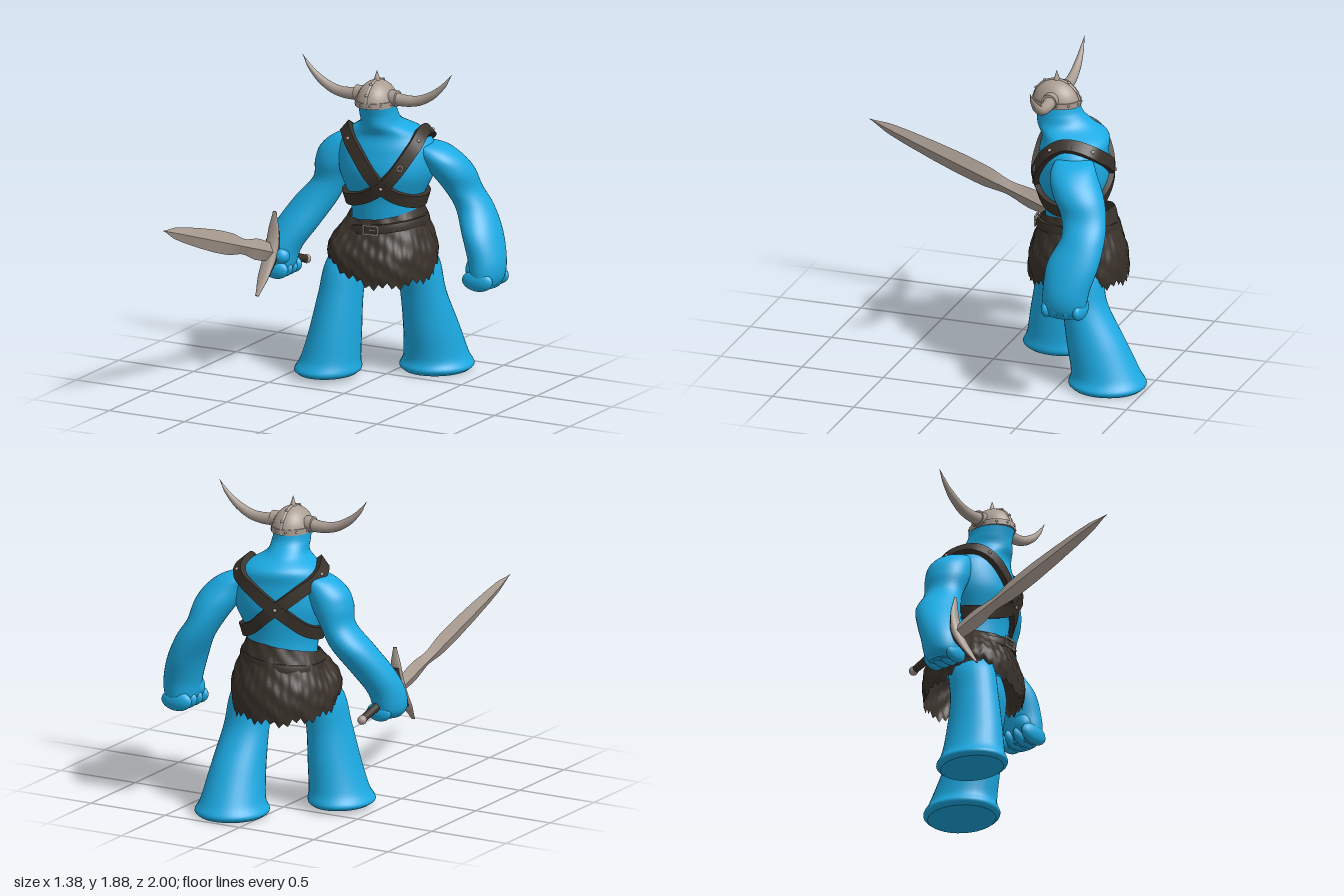
import * as THREE from 'three';
import { toCreasedNormals } from 'three/addons/utils/BufferGeometryUtils.js';

const V = (x, y, z) => new THREE.Vector3(x, y, z);
const TAU = Math.PI * 2, YAW = 0.35;

// Closed skin around rows of points; point(t, angle) gives a position.
function skin(rows, cols, point, caps = true) {
  const pos = [], idx = [];
  for (let i = 0; i <= rows; i++)
    for (let j = 0; j < cols; j++) pos.push(...point(i / rows, (j / cols) * TAU).toArray());
  for (let i = 0; i < rows; i++)
    for (let j = 0; j < cols; j++) {
      const a = i * cols + j, b = i * cols + (j + 1) % cols;
      idx.push(a, b, b + cols, a, b + cols, a + cols);
    }
  if (caps) for (const end of [0, 1]) {
    const start = pos.length / 3, mid = V(0, 0, 0);
    for (let j = 0; j < cols; j++) {
      const p = point(end, (j / cols) * TAU);
      mid.addScaledVector(p, 1 / cols);
      pos.push(...p.toArray());
    }
    pos.push(...mid.toArray());
    for (let j = 0; j < cols; j++) {
      const a = start + j, b = start + (j + 1) % cols;
      if (end) idx.push(a, b, start + cols); else idx.push(b, a, start + cols);
    }
  }
  const g = new THREE.BufferGeometry();
  g.setAttribute('position', new THREE.Float32BufferAttribute(pos, 3));
  g.setIndex(idx);
  g.computeVertexNormals();
  return g;
}

// Smooth stack of level ellipses, bottom to top: [x, y, z, rx, rz].
function stack(sections, yaw = 0) {
  const mid = new THREE.CatmullRomCurve3(sections.map(s => V(s[0], s[1], s[2])), false, 'catmullrom', 0.5);
  const rad = new THREE.CatmullRomCurve3(sections.map(s => V(s[3], s[4], 0)), false, 'catmullrom', 0.5);
  return (t, a) => {
    const r = rad.getPoint(t);
    return V(Math.sin(a) * r.x, 0, Math.cos(a) * r.y).applyAxisAngle(V(0, 1, 0), yaw).add(mid.getPoint(t));
  };
}

// Sweep along a path; sizes are [half width along side, half thickness].
function sweep(path, sizes, side, rows, cols) {
  const mid = new THREE.CatmullRomCurve3(path);
  const rad = new THREE.CatmullRomCurve3(sizes.map(s => V(s[0], s[1], 0)), false, 'catmullrom', 0.3);
  return skin(rows, cols, (t, a) => {
    const T = mid.getTangent(t), r = rad.getPoint(t);
    const e1 = side.clone().addScaledVector(T, -side.dot(T)).normalize();
    const e2 = T.clone().cross(e1);
    return mid.getPoint(t).addScaledVector(e1, Math.cos(a) * r.x).addScaledVector(e2, Math.sin(a) * r.y);
  });
}

export function createModel() {
  const model = new THREE.Group();
  const mat = (name, color) => new THREE.MeshStandardMaterial({ name, color });
  const skinMat = mat('blue skin', 0x1cabe4);
  const leather = mat('dark leather and fur', 0x3a322b);
  leather.side = THREE.DoubleSide;
  const bone = mat('pale metal and horn', 0xaa9d93);
  const add = (name, geo, material, parent = model) => {
    const m = new THREE.Mesh(geo, material);
    m.name = name;
    parent.add(m);
    return m;
  };
  const ball = (name, material, p, s, parent) => {
    const m = add(name, new THREE.SphereGeometry(1, 20, 14), material, parent);
    m.position.set(...p);
    m.scale.set(...s);
    return m;
  };

  // Torso, neck and head
  const torso = stack([
    [-0.01, 0.8, -0.52, 0.2, 0.18], [0, 1.0, -0.505, 0.205, 0.175], [0, 1.1, -0.5, 0.225, 0.183],
    [0.01, 1.24, -0.495, 0.28, 0.213], [0.01, 1.38, -0.5, 0.28, 0.203], [0, 1.47, -0.505, 0.225, 0.195],
    [0, 1.535, -0.45, 0.128, 0.168], [0, 1.6, -0.41, 0.112, 0.135], [0, 1.665, -0.39, 0.11, 0.135]], YAW);
  add('torsoAndHead', skin(64, 40, torso), skinMat);

  // Legs with flared feet
  const limb = (name, sections) => add(name, skin(48, 32, stack(sections)), skinMat);
  limb('rightLeg', [
    [-0.28, 0.025, -0.31, 0.165, 0.195], [-0.28, 0.052, -0.31, 0.19, 0.22], [-0.265, 0.12, -0.315, 0.17, 0.195],
    [-0.24, 0.28, -0.325, 0.148, 0.175], [-0.215, 0.5, -0.345, 0.127, 0.15], [-0.19, 0.7, -0.39, 0.118, 0.145],
    [-0.12, 0.86, -0.48, 0.09, 0.1]]);
  limb('leftLeg', [
    [0.185, 0.003, -0.77, 0.19, 0.205], [0.185, 0.033, -0.77, 0.215, 0.23], [0.185, 0.1, -0.76, 0.185, 0.205],
    [0.185, 0.28, -0.7, 0.158, 0.175], [0.175, 0.5, -0.625, 0.135, 0.132], [0.155, 0.7, -0.585, 0.125, 0.14],
    [0.1, 0.86, -0.55, 0.09, 0.1]]);

  // Arms, rooted inside the chest
  limb('leftArm', [
    [0.59, 0.575, -0.65, 0.06, 0.1], [0.588, 0.64, -0.65, 0.095, 0.13], [0.58, 0.74, -0.66, 0.105, 0.14],
    [0.535, 0.88, -0.685, 0.107, 0.155], [0.465, 1.02, -0.72, 0.108, 0.13], [0.4, 1.13, -0.7, 0.105, 0.135],
    [0.355, 1.24, -0.65, 0.128, 0.15], [0.305, 1.33, -0.605, 0.125, 0.14], [0.235, 1.395, -0.58, 0.1, 0.11],
    [0.14, 1.42, -0.54, 0.05, 0.05]]);
  limb('rightArm', [
    [-0.59, 0.59, -0.28, 0.06, 0.08], [-0.59, 0.64, -0.28, 0.095, 0.11], [-0.575, 0.74, -0.3, 0.11, 0.12],
    [-0.515, 0.87, -0.36, 0.13, 0.13], [-0.43, 1.02, -0.44, 0.128, 0.135], [-0.35, 1.15, -0.47, 0.1, 0.12],
    [-0.315, 1.26, -0.47, 0.12, 0.135], [-0.28, 1.35, -0.475, 0.122, 0.128], [-0.21, 1.425, -0.485, 0.095, 0.1],
    [-0.12, 1.445, -0.5, 0.05, 0.05]]);

  // Curled fingers and thumbs
  for (let i = 0; i < 4; i++) {
    ball('leftFinger', skinMat, [0.575, 0.622, -0.745 + i * 0.064], [0.1, 0.062, 0.038]);
    ball('rightFinger', skinMat, [-0.565, 0.625, -0.365 + i * 0.055], [0.08, 0.055, 0.034]);
  }
  ball('leftThumb', skinMat, [0.53, 0.68, -0.6], [0.05, 0.07, 0.06]);
  ball('rightThumb', skinMat, [-0.54, 0.71, -0.21], [0.055, 0.05, 0.045]);

  // Fur skirt with a ragged hem, bulging over the forward thigh
  const skirtR = new THREE.CatmullRomCurve3([0.298, 0.306, 0.3, 0.272, 0.242, 0.215].map(r => V(r, 0, 0)));
  add('furSkirt', skin(24, 144, (t, a) => {
    const side = a > Math.PI ? a - TAU : a;
    const thigh = Math.exp(-(((side + 1.1) / 0.55) ** 2));
    const jag = 0.03 * Math.abs(((a * 36 / TAU) % 1) * 2 - 1) + 0.012 * Math.sin(a * 11);
    const hem = 0.575 + 0.035 * Math.sin(a) ** 2 + 0.09 * thigh + jag;
    const top = 1.005 + 0.035 * Math.sin(a) - 0.025 * Math.cos(a);
    const r = skirtR.getPoint(t).x + 0.045 * thigh * Math.sin(Math.PI * Math.min(1, 0.4 + t * 0.6))
      + 0.006 * Math.sin(9 * a + 8 * t) * Math.sin(15 * t + 3 * a);
    return V(Math.sin(a) * r, hem + (top - hem) * t, Math.cos(a) * r * 0.96)
      .applyAxisAngle(V(0, 1, 0), YAW).add(V(-0.012, 0, -0.52));
  }, false), leather);

  // Belt across the front, with its buckle
  const waist = new THREE.Group();
  waist.name = 'waist';
  waist.position.set(-0.012, 0, -0.52);
  waist.rotation.y = YAW - 0.22;
  model.add(waist);
  add('belt', toCreasedNormals(skin(4, 48, (t, a) => {
    const r = [0.22, 0.252, 0.254, 0.246, 0.21][Math.round(t * 4)];
    const y = [0.895, 0.895, 0.92, 0.945, 0.945][Math.round(t * 4)];
    return V(Math.sin(a) * r, y + 0.03 * Math.sin(a), Math.cos(a) * r * 0.97);
  }, false), 0.7), leather, waist);
  for (const [w, h, x, y] of [[0.1, 0.009, 0, 0.026], [0.1, 0.009, 0, -0.026], [0.009, 0.06, 0.046, 0], [0.009, 0.06, -0.046, 0], [0.035, 0.008, 0.01, 0]]) {
    const bar = add('buckleBar', new THREE.BoxGeometry(w, h, 0.009), bone, waist);
    bar.position.set(x, y + 0.92, 0.25);
  }

  // Crossed straps following the torso: [angle in degrees, torso section]
  const route = [[-110, 4.7], [-85, 5.0], [-62, 4.9], [-38, 4.2], [0, 2.6], [45, 1.9], [95, 1.85], [140, 2.2],
    [180, 3.1], [220, 4.1], [250, 4.7], [275, 5.0], [298, 4.9]];
  const first = 1 / 12, span = 10 / 12;
  for (const s of [1, -1]) {
    const line = new THREE.CatmullRomCurve3(route.map(([d, k]) => V(s * d * Math.PI / 180, k / 8, 0)), false, 'catmullrom', 0.5);
    const on = u => { const p = line.getPoint(u); return torso(p.y, p.x); };
    const frame = t => {
      const u = first + span * t, p = line.getPoint(u), e = 0.01;
      const du = torso(p.y, p.x + e).sub(torso(p.y, p.x - e));
      const dv = torso(p.y + e, p.x).sub(torso(p.y - e, p.x));
      const n = du.cross(dv).normalize();
      const T = on(u + e).sub(on(u - e)).normalize();
      return { p: on(u), n, w: T.clone().cross(n).normalize() };
    };
    add('strap', toCreasedNormals(skin(90, 4, (t, a) => {
      const { p, n, w } = frame(t), q = a + Math.PI / 4;
      return p.addScaledVector(n, 0.012 + 0.018 * Math.sign(Math.cos(q)))
        .addScaledVector(w, -0.037 * Math.sign(Math.sin(q)));
    }), 0.7), leather);
    for (const t of [0.16, 0.3, 0.7, 0.88]) {
      const { p, n } = frame(t);
      ball('strapStud', bone, p.addScaledVector(n, 0.03).toArray(), [0.011, 0.011, 0.011]);
    }
    // Small ring on the strap over the left shoulder
    if (s < 0) {
      const { p, n } = frame(0.25);
      const ring = add('strapRing', new THREE.TorusGeometry(0.016, 0.005, 6, 18), bone);
      ring.position.copy(p).addScaledVector(n, 0.031);
      ring.quaternion.setFromUnitVectors(V(0, 0, 1), n);
    }
  }

  // Helmet with ridge, band, studs and spike
  const helmet = new THREE.Group();
  helmet.name = 'helmet';
  helmet.position.set(0, 1.655, -0.39);
  model.add(helmet);
  add('dome', new THREE.SphereGeometry(1, 36, 14, 0, TAU, 0, Math.PI / 2), bone, helmet).scale.set(0.116, 0.142, 0.143);
  const bottom = add('helmetBase', new THREE.CircleGeometry(1, 36), bone, helmet);
  bottom.rotation.x = Math.PI / 2;
  bottom.scale.set(0.116, 0.143, 1);
  add('band', toCreasedNormals(skin(3, 40, (t, a) => {
    const k = [0, 0.006, 0.006, -0.004][Math.round(t * 3)], y = [-0.004, -0.004, 0.03, 0.03][Math.round(t * 3)];
    return V(Math.sin(a) * (0.114 + k), y, Math.cos(a) * (0.141 + k));
  }, false), 0.7), bone, helmet);
  const ridge = add('ridge', new THREE.TorusGeometry(1, 0.05, 8, 30, Math.PI), bone, helmet);
  ridge.rotation.y = Math.PI / 2;
  ridge.scale.set(0.143, 0.142, 0.2);
  const spike = add('spike', new THREE.ConeGeometry(0.024, 0.075, 12), bone, helmet);
  spike.position.y = 0.162;
  for (let i = 0; i < 12; i++) {
    const a = (i + 0.5) / 12 * TAU;
    ball('helmetStud', bone, [Math.sin(a) * 0.119, 0.014, Math.cos(a) * 0.146], [0.007, 0.007, 0.007], helmet);
  }
  for (let i = 1; i < 6; i++) {
    const a = i / 6 * Math.PI;
    ball('ridgeStud', bone, [0, Math.sin(a) * 0.147, Math.cos(a) * 0.149], [0.009, 0.009, 0.009], helmet);
  }

  // Curved horns in round collars
  for (const s of [-1, 1]) {
    const collar = add('hornCollar', new THREE.CylinderGeometry(0.047, 0.047, 0.045, 24), bone, helmet);
    collar.rotation.z = Math.PI / 2;
    collar.position.set(s * 0.115, 0.045, 0);
    const path = [[0.1, 0.045], [0.18, 0.037], [0.27, 0.047], [0.36, 0.09], [0.435, 0.155], [0.49, 0.23]]
      .map(([x, y]) => V(s * x, y, s < 0 ? 0.008 * x / 0.49 : -0.012 * x / 0.49));
    add('horn', sweep(path, [0.04, 0.035, 0.03, 0.024, 0.014, 0.001].map(r => [r, r]), V(0, 0, 1), 30, 16), bone, helmet);
  }

  // Sword held in the right hand, its guard backed with leather
  const tip = V(-0.64, 1.13, 1.0), hilt = V(-0.583, 0.735, -0.17), pommel = V(-0.547, 0.615, -0.53);
  const across = V(0, 0.945, -0.325);
  add('blade', toCreasedNormals(sweep([hilt, hilt.clone().lerp(tip, 0.5), tip],
    [[0.05, 0.028], [0.062, 0.028], [0.045, 0.026], [0.064, 0.026], [0.066, 0.024], [0.06, 0.022], [0.05, 0.02], [0.036, 0.015], [0.001, 0.001]],
    across, 48, 4), 0.5), bone);
  const guardPath = [V(-0.57, 0.975, -0.195), V(-0.578, 0.86, -0.195), hilt, V(-0.588, 0.61, -0.095), V(-0.59, 0.505, -0.02)];
  add('crossguard', sweep(guardPath,
    [[0.012, 0.006], [0.035, 0.016], [0.042, 0.026], [0.036, 0.016], [0.012, 0.006]], V(1, 0, 0), 32, 16), bone);
  add('guardBacking', sweep(guardPath.slice(1, 4).map(p => p.clone().add(V(0.004, -0.004, -0.013))),
    [[0.028, 0.012], [0.042, 0.024], [0.028, 0.012]], V(1, 0, 0), 20, 16), leather);
  add('grip', sweep([pommel, pommel.clone().lerp(hilt, 0.5), hilt], [[0.022, 0.022], [0.026, 0.026], [0.022, 0.022]], across, 12, 14), leather);
  ball('pommel', bone, pommel.toArray(), [0.027, 0.027, 0.027]);

  return model;
}
